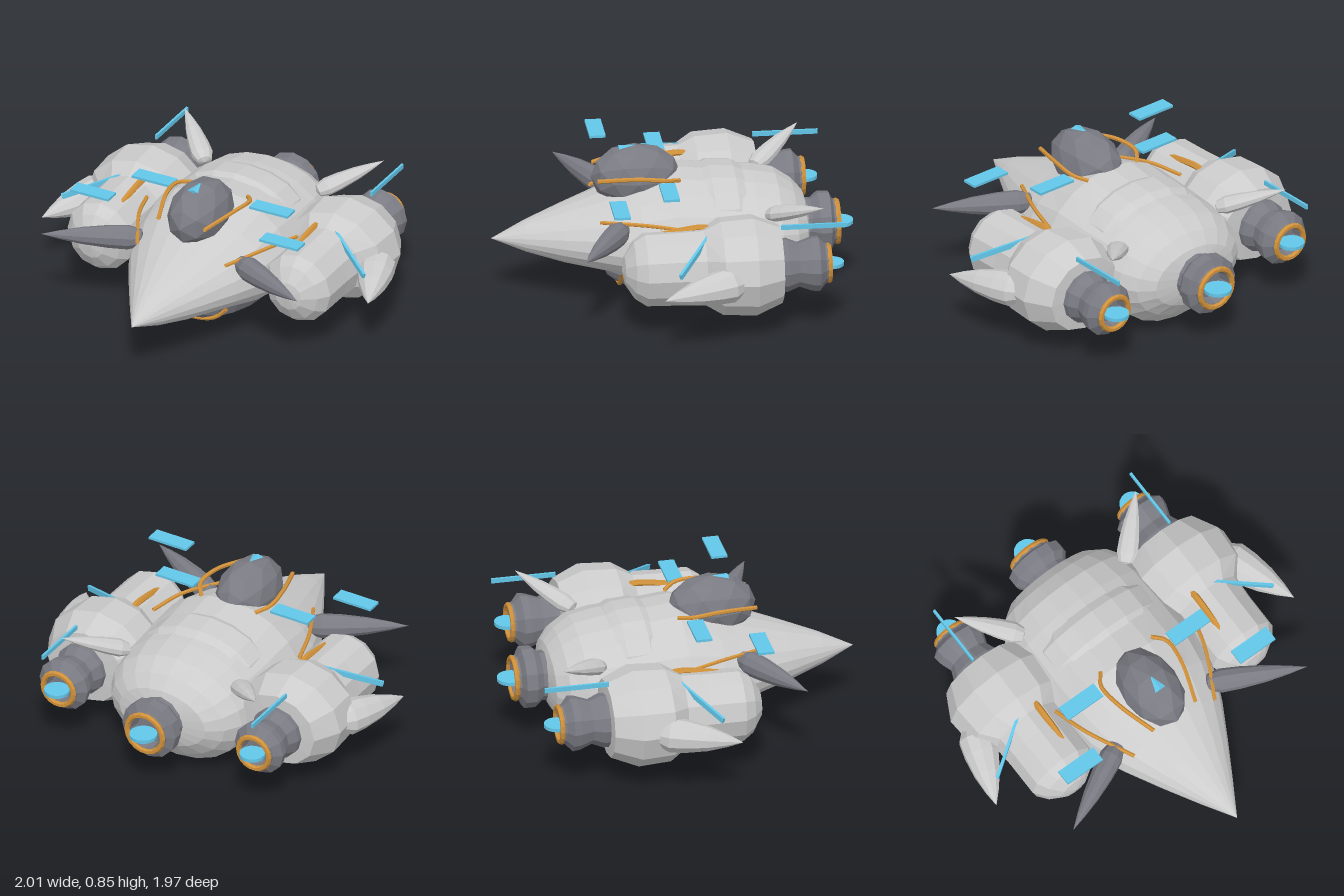
import * as THREE from 'three';

const paint = (color) => new THREE.MeshStandardMaterial({ color, flatShading: true, side: THREE.DoubleSide });
const V = (x, y, z) => new THREE.Vector3(x, y, z);

export function createModel() {
  const root = new THREE.Group();
  const grey = paint(0xcccccc), dark = paint(0x7b7b84), blue = paint(0x62c6e8), orange = paint(0xd0913a);

  const add = (name, geo, mat, x = 0, y = 0, z = 0) => {
    const m = new THREE.Mesh(geo, mat);
    m.name = name;
    m.position.set(x, y, z);
    root.add(m);
    return m;
  };

  // Skin over oval sections [z, halfWidth, top, bottom, widestHeight], front to back
  const loft = (sections, n) => {
    const pos = [], idx = [];
    for (const [z, hw, top, bottom, mid] of sections) {
      for (let j = 0; j < n; j++) {
        const a = (j / n) * Math.PI * 2, s = Math.sin(a);
        pos.push(Math.cos(a) * hw, mid + s * (s > 0 ? top - mid : mid - bottom), z);
      }
    }
    for (let i = 0; i < sections.length - 1; i++) {
      for (let j = 0; j < n; j++) {
        const a = i * n + j, b = i * n + (j + 1) % n;
        idx.push(a, a + n, b, a + n, b + n, b);
      }
    }
    const g = new THREE.BufferGeometry();
    g.setAttribute('position', new THREE.Float32BufferAttribute(pos, 3));
    g.setIndex(idx);
    g.computeVertexNormals();
    return g;
  };

  // Turned body along z from [radius, z] pairs, back to front
  const turned = (pairs, n) =>
    new THREE.LatheGeometry(pairs.map(([r, z]) => new THREE.Vector2(r, z)), n).rotateX(Math.PI / 2);

  // Pointed leaf from base to tip, given half width and half height
  const spike = (name, base, tip, w, h, mat) => {
    const dir = tip.clone().sub(base), len = dir.length();
    dir.normalize();
    const side = dir.clone().cross(V(0, 1, 0)).normalize(), up = side.clone().cross(dir);
    const profile = [[0, 0], [0.7, 0.03], [1, 0.16], [0.93, 0.35], [0.7, 0.6], [0.36, 0.82], [0, 1]];
    const g = new THREE.LatheGeometry(profile.map(([r, t]) => new THREE.Vector2(r, t)), 10);
    g.scale(w, len, h).applyMatrix4(new THREE.Matrix4().makeBasis(side, dir, up));
    return add(name, g, mat, base.x, base.y, base.z);
  };

  const pipe = (name, pts, r) =>
    add(name, new THREE.TubeGeometry(new THREE.CatmullRomCurve3(pts), 14, r, 6), orange);

  // Nozzle with recessed mouth, trim ring and thin glowing disc
  const nozzle = (name, x, y, profile, mouthZ, ringR, discR) => {
    add(name, turned(profile, 12), dark, x, y);
    add(name + 'Ring', new THREE.TorusGeometry(ringR, 0.016, 6, 18), orange, x, y, mouthZ);
    add(name + 'Glow', new THREE.CylinderGeometry(discR, discR, 0.02, 18), blue, x, y, mouthZ - 0.015);
  };

  // Hull and belly
  add('hull', loft([
    [0.985, 0, 0.34, 0.34, 0.34], [0.8, 0.11, 0.43, 0.265, 0.34], [0.6, 0.225, 0.505, 0.21, 0.345],
    [0.4, 0.335, 0.575, 0.175, 0.35], [0.3, 0.38, 0.61, 0.155, 0.35], [0.2, 0.42, 0.65, 0.12, 0.35],
    [0, 0.45, 0.715, 0.08, 0.35], [-0.2, 0.45, 0.69, 0.07, 0.35], [-0.38, 0.44, 0.675, 0.065, 0.35],
    [-0.43, 0.44, 0.67, 0.04, 0.35], [-0.56, 0.41, 0.645, 0.035, 0.35], [-0.65, 0.355, 0.585, 0.11, 0.35],
    [-0.71, 0.27, 0.52, 0.19, 0.35], [-0.73, 0.14, 0.46, 0.24, 0.35],
  ], 20), grey);
  add('backPlate', loft([
    [-0.14, 0, 0.5, 0.5, 0.5], [-0.15, 0.31, 0.69, 0.45, 0.5], [-0.2, 0.35, 0.71, 0.42, 0.5],
    [-0.33, 0.35, 0.7, 0.42, 0.5], [-0.38, 0.32, 0.675, 0.45, 0.5], [-0.39, 0, 0.5, 0.5, 0.5],
  ], 16), grey);
  add('belly', new THREE.SphereGeometry(1, 12, 10).rotateX(Math.PI / 2).scale(0.28, 0.15, 0.46), dark, 0, 0.155, -0.08);

  // Canopy with blue marker
  add('canopy', new THREE.IcosahedronGeometry(1, 1).scale(0.16, 0.175, 0.245), dark, 0, 0.675, 0.2);
  const marker = add('canopyMarker', new THREE.ConeGeometry(0.033, 0.095, 4), blue, 0, 0.843, 0.245);
  marker.rotation.x = -Math.PI / 2 + 0.12;
  marker.scale.z = 0.3;

  // Chin trim
  pipe('chinTrim', [V(-0.21, 0.17, 0.3), V(-0.15, 0.11, 0.3), V(-0.07, 0.08, 0.3), V(0.07, 0.08, 0.3),
    V(0.15, 0.11, 0.3), V(0.21, 0.17, 0.3)], 0.012);

  // Central engine
  nozzle('centreNozzle', 0, 0.35, [[0, -0.82], [0.085, -0.82], [0.095, -0.89], [0.12, -0.895], [0.125, -0.87],
    [0.168, -0.85], [0.168, -0.79], [0.135, -0.75], [0.14, -0.7]], -0.892, 0.112, 0.076);

  for (const s of [1, -1]) {
    const side = s > 0 ? 'left' : 'right';

    // Engine pod, swollen towards the rear
    const podRings = [[0.345, 0, 0], [0.33, 0.08, 0.08], [0.28, 0.155, 0.16], [0.22, 0.2, 0.2], [0.02, 0.2, 0.205],
      [-0.1, 0.207, 0.21], [-0.19, 0.3, 0.258], [-0.37, 0.312, 0.268], [-0.515, 0.235, 0.21], [-0.53, 0, 0]];
    add(side + 'Pod', loft(podRings.map(([z, w, h]) => [z, w, h, -h, 0]), 12), grey, s * 0.605, 0.37);
    nozzle(side + 'Nozzle', s * 0.615, 0.365, [[0, -0.71], [0.075, -0.71], [0.085, -0.77], [0.105, -0.775],
      [0.11, -0.755], [0.152, -0.72], [0.147, -0.68], [0.122, -0.61], [0.147, -0.55], [0.147, -0.49]],
      -0.775, 0.095, 0.07);

    // Horns and fins
    spike(side + 'Horn', V(s * 0.29, 0.48, 0.3), V(s * 0.785, 0.5, 0.56), 0.065, 0.068, dark);
    spike(side + 'SideFin', V(s * 0.83, 0.365, -0.28), V(s, 0.345, 0.155), 0.105, 0.095, grey);
    spike(side + 'RearFin', V(s * 0.34, 0.55, -0.48), V(s * 0.61, 0.68, -0.75), 0.06, 0.045, grey);

    // Orange pipes
    pipe(side + 'CanopyPipe', [V(s * 0.17, 0.7, -0.02), V(s * 0.22, 0.72, 0.05), V(s * 0.21, 0.73, 0.2),
      V(s * 0.14, 0.7, 0.42)], 0.012);
    pipe(side + 'HullPipe', [V(s * 0.46, 0.52, -0.04), V(s * 0.4, 0.535, 0.16), V(s * 0.27, 0.515, 0.42)], 0.011);
    pipe(side + 'PodPipe', [V(s * 0.53, 0.55, -0.18), V(s * 0.53, 0.567, -0.1), V(s * 0.53, 0.557, 0),
      V(s * 0.53, 0.535, 0.12)], 0.019);

    // Blue panels
    const panel = new THREE.BoxGeometry(0.235, 0.014, 0.088);
    add(side + 'InnerPanel', panel, blue, s * 0.36, 0.71, 0.057);
    add(side + 'OuterPanel', panel, blue, s * 0.58, 0.71, 0.35);
    add(side + 'RearBlade', new THREE.BoxGeometry(0.013, 0.026, 0.355), blue, s * 0.66, 0.603, -0.69);
    const strip = add(side + 'PodStrip', new THREE.BoxGeometry(0.016, 0.03, 0.37), blue, s * 0.78, 0.508, -0.035);
    strip.lookAt(s * 1.08, 0.388, 0.165);
  }
  return root;
}
